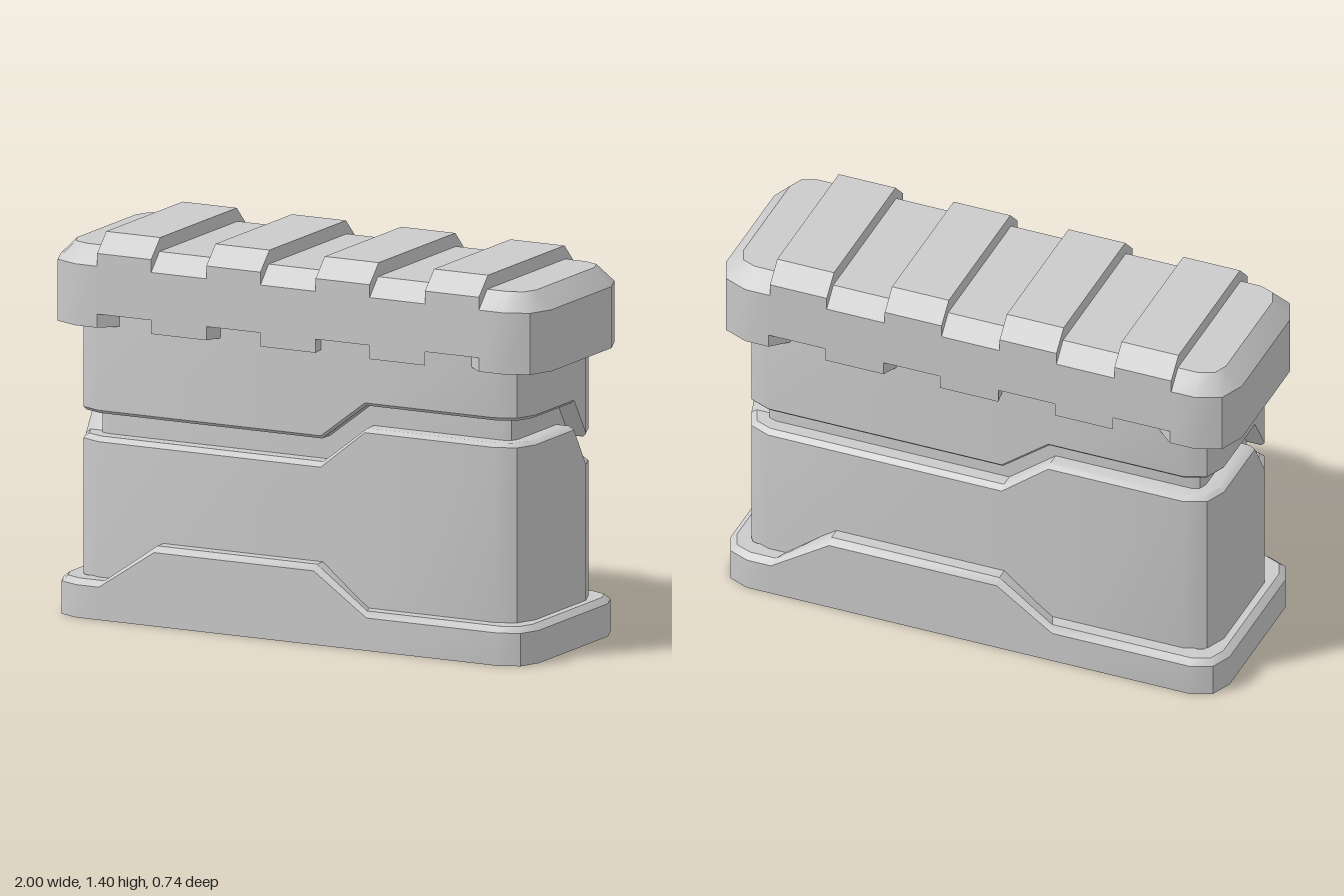
import * as THREE from 'three';
import { toCreasedNormals } from 'three/addons/utils/BufferGeometryUtils.js';

const material = new THREE.MeshStandardMaterial({ color: 0xcccccc });

// Rounded-rectangle ring with half-turn symmetry.
// front: [x, y] points along the front; side: [z, y] points along the +x side;
// y1, y2: heights of the front and back corners of the +x side.
function ring(hx, hz, r, front, side, y1, y2) {
  const half = front.map(([x, y]) => new THREE.Vector3(x, y, hz));
  for (let i = 0; i <= 2; i++) {
    const a = i * Math.PI / 4;
    half.push(new THREE.Vector3(hx - r + r * Math.sin(a), y1, hz - r + r * Math.cos(a)));
  }
  for (const [z, y] of side) half.push(new THREE.Vector3(hx, y, z));
  for (let i = 0; i <= 2; i++) {
    const a = i * Math.PI / 4;
    half.push(new THREE.Vector3(hx - r + r * Math.cos(a), y2, -(hz - r + r * Math.sin(a))));
  }
  return [...half, ...half.map(p => new THREE.Vector3(-p.x, p.y, -p.z))];
}

// Skin a stack of rings, skipping collapsed triangles
function loft(name, rings) {
  const pos = [];
  const tri = (a, b, c) => {
    const area = b.clone().sub(a).cross(c.clone().sub(a)).length();
    if (area > 1e-7) for (const p of [a, b, c]) pos.push(p.x, p.y, p.z);
  };
  for (let k = 0; k + 1 < rings.length; k++) {
    const lo = rings[k], hi = rings[k + 1];
    lo.forEach((p, i) => {
      const j = (i + 1) % lo.length;
      tri(p, lo[j], hi[j]);
      tri(p, hi[j], hi[i]);
    });
  }
  const geo = new THREE.BufferGeometry();
  geo.setAttribute('position', new THREE.Float32BufferAttribute(pos, 3));
  const mesh = new THREE.Mesh(toCreasedNormals(geo, 0.6), material);
  mesh.name = name;
  return mesh;
}

const centre = (rg, y) => rg.map(() => new THREE.Vector3(0, y, 0));

export function createModel() {
  const group = new THREE.Group();

  // Base with a raised skirt on the front and back
  const baseRing = (inset, low, high) => ring(0.967 - inset, 0.369 - inset, 0.11 - inset,
    [[-0.765 + inset * 0.4, low], [-0.54, high], [0.11, high], [0.325 - inset * 0.4, low]], [], low, low);
  const foot = baseRing(0, 0, 0);
  group.add(loft('base', [centre(foot, 0), foot, baseRing(0, 0.12, 0.27),
    baseRing(0.025, 0.14, 0.29), baseRing(0.085, 0.14, 0.29)]));

  // Body rings follow the stepped split line around the perimeter
  const bodyRing = (inset, low, high) => ring(0.915 - inset, 0.298 - inset, 0.11 - inset,
    [[0.1, low], [0.28, high]], [[-0.1, high], [-0.19, low]], high, low);
  group.add(loft('lowerBody', [bodyRing(0, 0.1, 0.1), bodyRing(0, 0.635, 0.78),
    bodyRing(0.02, 0.652, 0.793), bodyRing(0.075, 0.652, 0.793)]));
  group.add(loft('core', [bodyRing(0.07, 0.62, 0.76), bodyRing(0.07, 0.76, 0.9)]));
  group.add(loft('upperBody', [bodyRing(0.075, 0.738, 0.877), bodyRing(0.012, 0.738, 0.877),
    bodyRing(0, 0.75, 0.889), bodyRing(0, 1.15, 1.15)]));

  // Lid with notches along its lower front and back edges
  const ribWidth = 0.22;
  const ribCentres = [-0.67, -0.225, 0.22, 0.665];
  const lidRing = (hx, hz, r, low, high) => {
    const s = hx;
    const front = ribCentres.flatMap(c => {
      const a = (c - ribWidth / 2) * s, b = (c + ribWidth / 2) * s;
      return [[a, low], [a, high], [b, high], [b, low]];
    });
    return ring(hx, hz, r, front, [], low, low);
  };
  const lidTop = lidRing(0.935, 0.292, 0.075, 1.355, 1.355);
  group.add(loft('lid', [lidRing(0.91, 0.29, 0.11, 1.065, 1.115), lidRing(1, 0.354, 0.13, 1.065, 1.115),
    lidRing(1, 0.354, 0.13, 1.29, 1.29), lidTop, centre(lidTop, 1.355)]));

  // Raised ribs across the lid
  const profile = new THREE.Shape([[-0.354, 1.288], [0.354, 1.288], [0.354, 1.337],
    [0.286, 1.405], [-0.286, 1.405], [-0.354, 1.337]].map(p => new THREE.Vector2(...p)));
  const ribGeometry = new THREE.ExtrudeGeometry(profile, { depth: ribWidth, bevelEnabled: false });
  ribGeometry.translate(0, 0, -ribWidth / 2).rotateY(Math.PI / 2);
  for (const x of ribCentres) {
    const rib = new THREE.Mesh(ribGeometry, material);
    rib.name = 'lidRib';
    rib.position.x = x;
    group.add(rib);
  }
  return group;
}
